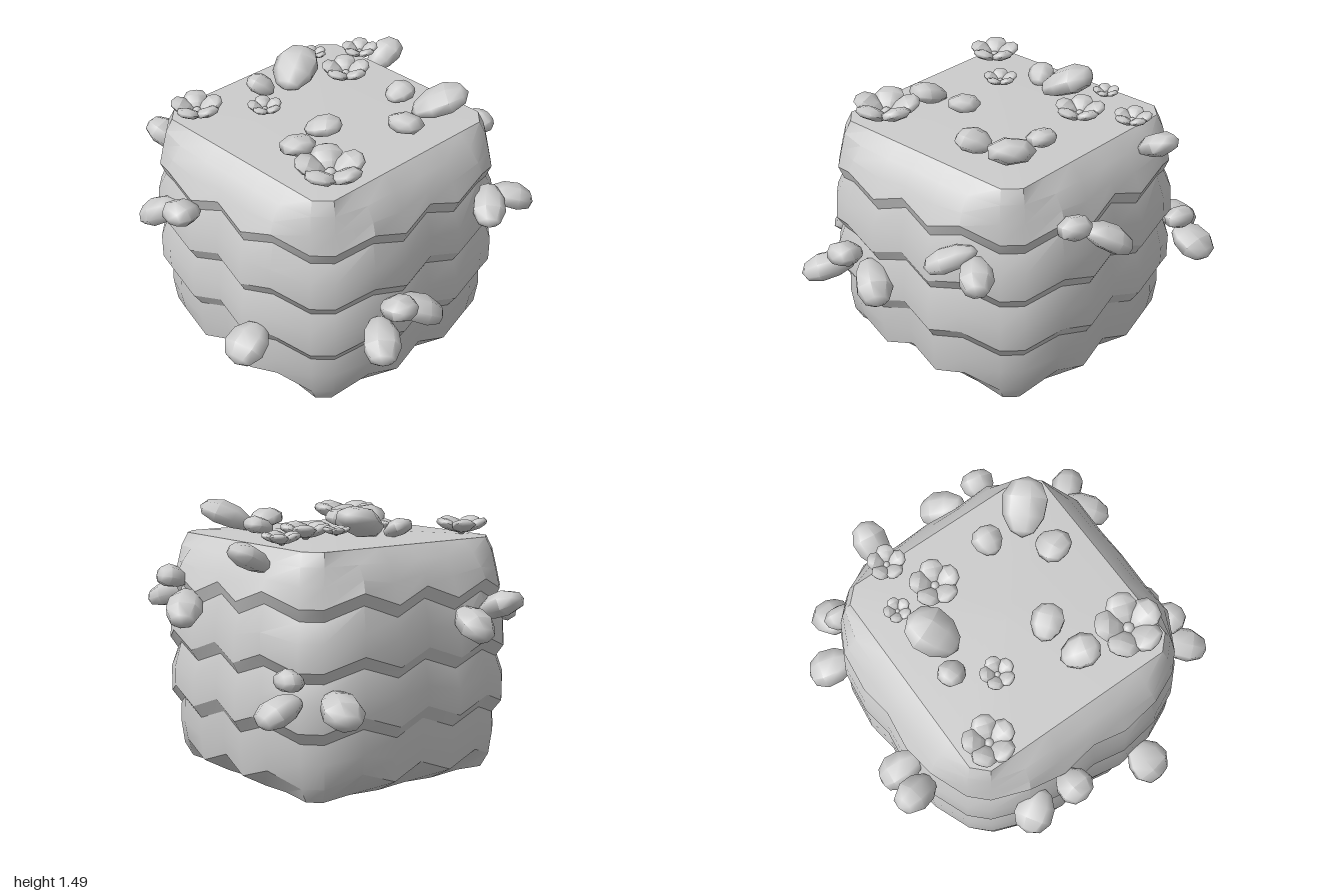
import * as THREE from 'three';
import { toCreasedNormals } from 'three/addons/utils/BufferGeometryUtils.js';

const material = new THREE.MeshStandardMaterial({ color: 0xcccccc });

// One quarter of the rounded-square outline: [x, z, zigzag (1 = peak, 0 = dip)]
const QUARTER = [
  [0, 0.78, 1], [0.2, 0.8, 0], [0.41, 0.78, 1], [0.6, 0.69, 0],
  [0.69, 0.6, 0], [0.78, 0.41, 1], [0.8, 0.2, 0],
];

// Full outline, turned four times about y
function outline() {
  const points = [];
  for (let q = 0; q < 4; q++) {
    for (const [x, z, peak] of QUARTER) {
      let px = x, pz = z;
      for (let i = 0; i < q; i++) [px, pz] = [pz, -px];
      points.push([px, pz, peak]);
    }
  }
  return points;
}

// Stacked tiers: [scale, y at dips, y at peaks, half-width limit that squares the ring]
const RINGS = [
  [0.9, 0.04, 0.05, 0.6],
  [0.93, 0.12, 0.19, 1], [0.95, 0.25, 0.29, 1], [0.945, 0.355, 0.425, 1], // bottom tier
  [1.0, 0.42, 0.495, 1], [1.0, 0.56, 0.6, 1], [0.96, 0.665, 0.735, 1],
  [1.005, 0.725, 0.8, 1], [0.995, 0.87, 0.91, 1], [0.945, 0.97, 1.045, 1],
  [0.975, 1.035, 1.11, 1], [0.95, 1.14, 1.17, 0.735], // rounded crown
  [0.925, 1.235, 1.24, 0.685], [0.89, 1.305, 1.305, 0.61],
];

function hedgeBody() {
  const ring = outline(), n = ring.length, positions = [], index = [];
  for (const [s, low, high, limit] of RINGS) {
    const fit = v => THREE.MathUtils.clamp(v * s, -limit, limit);
    for (const [x, z, peak] of ring) positions.push(fit(x), low + (high - low) * peak, fit(z));
  }
  for (let r = 0; r < RINGS.length - 1; r++) {
    for (let i = 0; i < n; i++) {
      const a = r * n + i, b = r * n + (i + 1) % n;
      index.push(a, b, b + n, a, b + n, a + n);
    }
  }
  // Slightly domed underside and top
  const bottom = positions.length / 3, top = bottom + 1, last = (RINGS.length - 1) * n;
  positions.push(0, 0, 0, 0, 1.335, 0);
  for (let i = 0; i < n; i++) {
    const j = (i + 1) % n;
    index.push(bottom, j, i, top, last + i, last + j);
  }
  const geometry = new THREE.BufferGeometry();
  geometry.setAttribute('position', new THREE.Float32BufferAttribute(positions, 3));
  geometry.setIndex(index);
  return toCreasedNormals(geometry, 0.55);
}

// Unit pod: rounded, broader towards the tip (+y)
function podGeometry(flare, crease) {
  const geometry = new THREE.SphereGeometry(1, 7, 5);
  const p = geometry.attributes.position;
  for (let i = 0; i < p.count; i++) {
    const y = p.getY(i), k = 1.06 + flare * y;
    p.setXYZ(i, p.getX(i) * k, y, p.getZ(i) * k + 0.15 * (1 - y * y));
  }
  return toCreasedNormals(geometry, crease);
}
const leafShape = podGeometry(0.15, 1.1);
const petalShape = podGeometry(0.3, 0.9);

// Pod along a half-length vector, with its flat face turned upwards
function pod(shape, name, centre, half, width, thickness) {
  const mesh = new THREE.Mesh(shape, material);
  const along = half.clone().normalize();
  const side = new THREE.Vector3().crossVectors(along, new THREE.Vector3(0, 1, 0)).normalize();
  const normal = new THREE.Vector3().crossVectors(side, along);
  mesh.quaternion.setFromRotationMatrix(new THREE.Matrix4().makeBasis(side, along, normal));
  mesh.scale.set(width / 2, half.length(), thickness / 2);
  mesh.position.copy(centre);
  mesh.name = name;
  return mesh;
}

// [centre x, y, z, half-length x, y, z, width, thickness]
const WALL_LEAVES = [
  // front
  [-0.45, 0.56, 0.87, -0.1, -0.04, 0.11, 0.19, 0.13],
  [-0.15, 0.57, 0.83, 0.12, -0.06, 0.08, 0.19, 0.14],
  [-0.32, 0.685, 0.86, 0.01, 0.02, 0.1, 0.18, 0.12],
  [0.41, 0.945, 0.81, -0.1, -0.05, 0.09, 0.17, 0.11],
  [0.58, 0.92, 0.81, 0.09, -0.03, 0.09, 0.17, 0.13],
  // model's left
  [0.82, 1.09, 0.37, 0.08, 0.02, 0.02, 0.18, 0.12],
  [0.87, 0.96, 0.16, 0.08, -0.07, -0.1, 0.19, 0.13],
  [0.79, 1.26, -0.33, 0.11, 0.06, 0.01, 0.18, 0.12],
  [0.84, 0.56, -0.65, 0.12, -0.05, 0.01, 0.22, 0.13],
  [0.76, 0.69, -0.62, 0.07, 0.01, 0.01, 0.19, 0.11],
  // back
  [0.59, 0.56, -0.81, 0.05, -0.05, -0.13, 0.21, 0.14],
  [-0.39, 0.98, -0.88, -0.03, 0.05, -0.12, 0.18, 0.13],
  [-0.22, 0.9, -0.86, 0.02, -0.06, -0.12, 0.19, 0.14],
  // model's right
  [-0.8, 0.88, -0.42, -0.06, -0.05, -0.1, 0.2, 0.13],
  [-0.83, 0.99, -0.2, -0.1, 0.01, 0.01, 0.19, 0.12],
  [-0.86, 0.45, 0.32, -0.11, -0.06, 0.02, 0.23, 0.13],
];
const TOP_LEAVES = [
  [-0.365, 1.36, 0.17, -0.03, 0.03, 0.1, 0.18, 0.1],
  [-0.14, 1.36, 0.13, 0.06, 0.02, 0.08, 0.17, 0.09],
  [0.41, 1.355, 0.15, 0.08, 0.02, 0.01, 0.16, 0.09],
  [0.19, 1.36, 0.405, -0.09, 0.02, 0.03, 0.19, 0.1],
  [0.44, 1.39, 0.41, 0.11, 0.06, 0.1, 0.24, 0.13],
  [0.14, 1.395, -0.38, 0.13, 0.06, -0.06, 0.24, 0.14],
  [-0.08, 1.36, -0.42, -0.03, 0.03, -0.07, 0.14, 0.09],
];

// [x, y, z, diameter, turn]
const FLOWERS = [
  [-0.48, 1.335, -0.475, 0.27, 0.3], [-0.215, 1.34, -0.235, 0.18, 0.2],
  [0.35, 1.37, -0.455, 0.14, 0.1], [0.61, 1.335, -0.35, 0.2, 0.5],
  [0.365, 1.34, -0.215, 0.26, 0.4], [-0.4, 1.335, 0.45, 0.35, 0.3],
];

// Five broad cupped petals around a small centre
function flower(x, y, z, diameter, turn) {
  const group = new THREE.Group();
  group.name = 'flower';
  const r = diameter / 2;
  for (let i = 0; i < 5; i++) {
    const a = turn + i * Math.PI * 2 / 5, c = Math.cos(a), s = Math.sin(a);
    const centre = new THREE.Vector3(c * r * 0.54, r * 0.16, s * r * 0.54);
    const half = new THREE.Vector3(c, 0.5, s).multiplyScalar(r * 0.48);
    group.add(pod(petalShape, 'petal', centre, half, r * 0.9, r * 0.38));
  }
  const heart = new THREE.Mesh(new THREE.SphereGeometry(r * 0.2, 8, 6), material);
  heart.name = 'flowerCentre';
  group.add(heart);
  group.position.set(x, y, z);
  return group;
}

export function createModel() {
  const model = new THREE.Group();
  model.name = 'floweringHedge';
  const body = new THREE.Mesh(hedgeBody(), material);
  body.name = 'hedgeBody';
  body.position.set(0.015, 0, -0.012);
  model.add(body);

  for (const [name, list] of [['wallLeaf', WALL_LEAVES], ['topLeaf', TOP_LEAVES]]) {
    for (const [x, y, z, hx, hy, hz, width, thickness] of list) {
      model.add(pod(leafShape, name, new THREE.Vector3(x, y, z),
        new THREE.Vector3(hx, hy, hz), width, thickness));
    }
  }
  for (const f of FLOWERS) model.add(flower(...f));
  return model;
}
